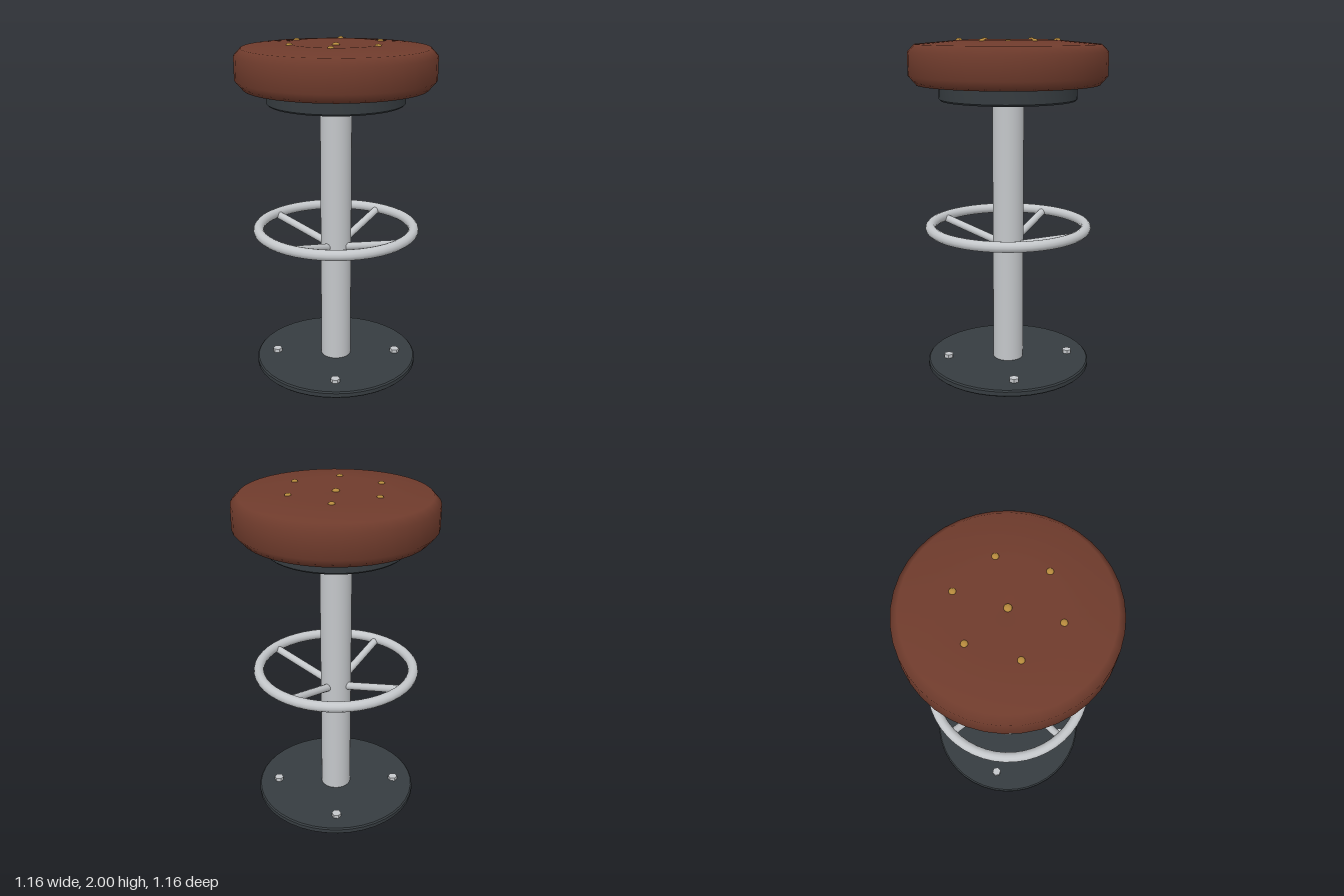
import * as THREE from 'three';
import { toCreasedNormals } from 'three/addons/utils/BufferGeometryUtils.js';

const paint = (name, color) => {
  const m = new THREE.MeshStandardMaterial({ color });
  m.name = name;
  return m;
};

export function createModel() {
  const leather = paint('brown leather', 0x6f3b2c);
  const steel = paint('brushed steel', 0xc4c7ca);
  const iron = paint('dark iron', 0x363c40);
  const brass = paint('brass', 0xb5893c);

  const model = new THREE.Group();
  model.name = 'barStool';
  const add = (name, geometry, material, x = 0, y = 0, z = 0) => {
    const mesh = new THREE.Mesh(geometry, material);
    mesh.name = name;
    mesh.position.set(x, y, z);
    model.add(mesh);
    return mesh;
  };
  const lathe = (points) =>
    new THREE.LatheGeometry(points.map(([r, y]) => new THREE.Vector2(r, y)), 40);

  // Flat disc with a small bevel on both rims
  const disc = (r, y0, y1, b) => toCreasedNormals(
    lathe([[0, y0], [r - b, y0], [r, y0 + b], [r, y1 - b], [r - b, y1], [0, y1]]), 0.6);

  // Floor plate, post and seat mount
  add('basePlate', disc(0.5, 0, 0.04, 0.008), iron);
  add('post', new THREE.CylinderGeometry(0.093, 0.093, 1.65, 32), steel, 0, 0.83, 0);
  add('seatMount', disc(0.405, 1.645, 1.737, 0.01), iron);

  // Cushion with chamfered rims and a slightly sunken centre
  add('cushion', lathe([
    [0, 1.738], [0.535, 1.738], [0.58, 1.79], [0.58, 1.925],
    [0.54, 1.967], [0.28, 1.99], [0, 1.977],
  ]), leather);

  // Upholstery buttons: one in the centre and six around it
  const button = (x, y, z, r) => {
    add('button', new THREE.SphereGeometry(r, 12, 8), brass, x, y, z).scale.y = 0.6;
  };
  button(0, 1.979, 0, 0.022);
  for (let i = 0; i < 6; i++) {
    const a = (i * Math.PI) / 3;
    button(0.283 * Math.cos(a), 1.989, 0.283 * Math.sin(a), 0.019);
  }

  // Foot ring
  const ring = new THREE.TorusGeometry(0.47, 0.031, 12, 48).rotateX(Math.PI / 2);
  add('footRing', ring, steel, 0, 0.885, 0);

  // Four sloping spokes and four floor bolts
  for (let i = 0; i < 4; i++) {
    const a = (i * Math.PI) / 2;
    const from = new THREE.Vector3(0.085 * Math.cos(a), 0.78, 0.085 * Math.sin(a));
    const to = new THREE.Vector3(0.465 * Math.cos(a), 0.88, 0.465 * Math.sin(a));
    const dir = to.clone().sub(from);
    const spoke = add('spoke', new THREE.CylinderGeometry(0.023, 0.023, dir.length(), 12), steel);
    spoke.position.copy(from).add(to).multiplyScalar(0.5);
    spoke.quaternion.setFromUnitVectors(new THREE.Vector3(0, 1, 0), dir.normalize());

    const b = a + 0.96;
    const head = toCreasedNormals(new THREE.CylinderGeometry(0.029, 0.029, 0.03, 6), 0.5);
    add('floorBolt', head, steel, 0.375 * Math.cos(b), 0.047, 0.375 * Math.sin(b));
  }

  return model;
}
